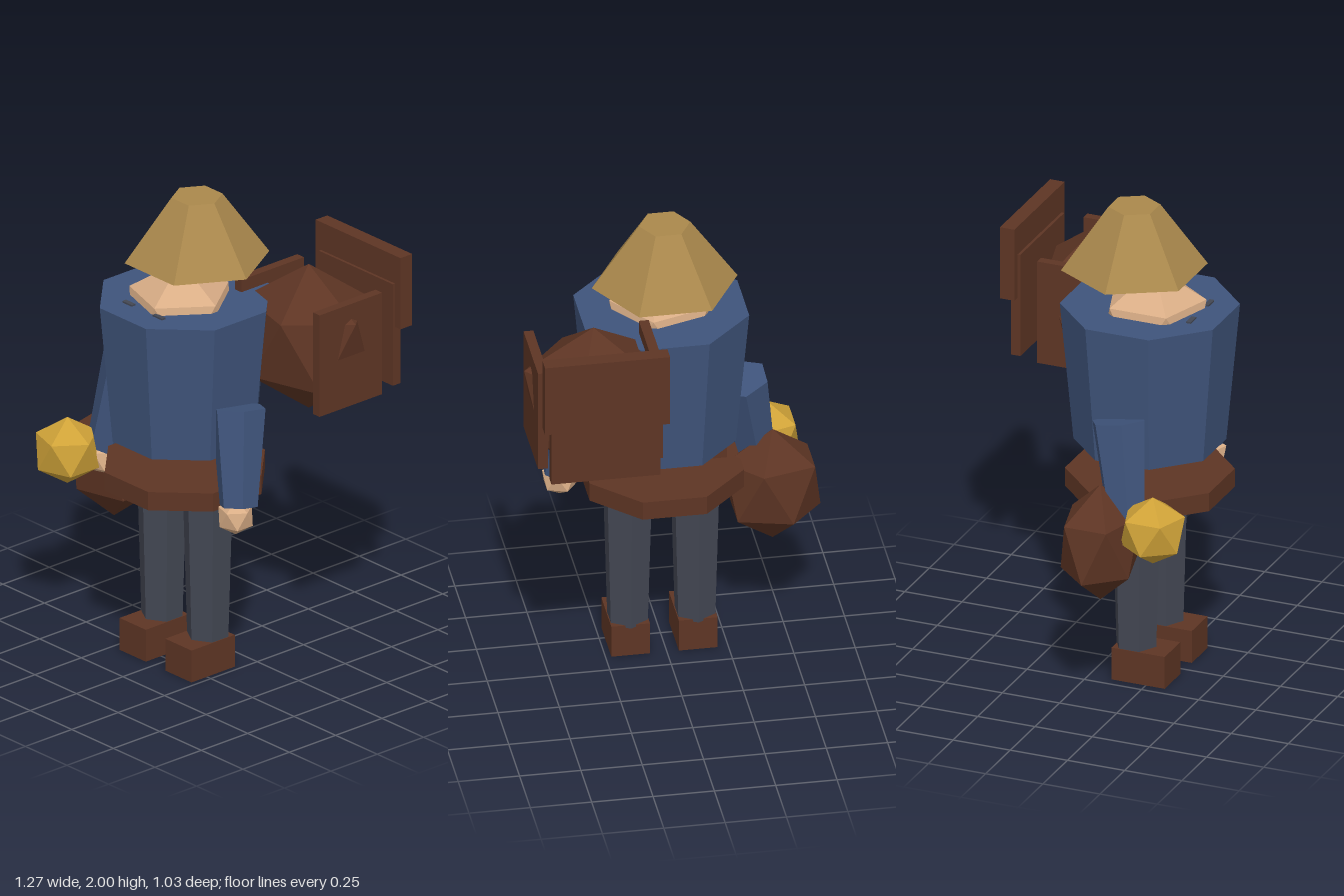
import * as THREE from 'three';
import { ConvexGeometry } from 'three/addons/geometries/ConvexGeometry.js';

const flat = (name, color) => {
  const m = new THREE.MeshStandardMaterial({ color, flatShading: true });
  m.name = name;
  return m;
};

export function createModel() {
  const coat = flat('blue coat', 0x3f547b);
  const straw = flat('straw hat', 0xaa884c);
  const skin = flat('skin', 0xd9ad86);
  const leather = flat('brown leather', 0x5e3524);
  const trousers = flat('grey trousers', 0x434753);
  const gold = flat('gold', 0xcfa238);

  const root = new THREE.Group();
  const CX = 0.01, CZ = 0.175; // body axis

  const add = (name, geo, mat, x, y, z, parent = root) => {
    const mesh = new THREE.Mesh(geo, mat);
    mesh.name = name;
    mesh.position.set(x, y, z);
    parent.add(mesh);
    return mesh;
  };

  // box given by its min and max corners
  const box = (name, mat, [x0, y0, z0], [x1, y1, z1]) =>
    add(name, new THREE.BoxGeometry(x1 - x0, y1 - y0, z1 - z0), mat,
      (x0 + x1) / 2, (y0 + y1) / 2, (z0 + z1) / 2);

  // upright prism; turn is the rotation of its corners
  const prism = (name, mat, sides, rTop, rBottom, y0, y1, x, z, turn = 0) =>
    add(name, new THREE.CylinderGeometry(rTop, rBottom, y1 - y0, sides).rotateY(turn), mat,
      x, (y0 + y1) / 2, z);

  // twenty-faced ball with a corner pointing up, stretched per axis
  const ball = (name, mat, x, y, z, rx, ry = rx, rz = rx) => {
    const pts = [new THREE.Vector3(0, ry, 0), new THREE.Vector3(0, -ry, 0)];
    for (let i = 0; i < 5; i++) {
      const a = (i * Math.PI * 2) / 5;
      const c = 0.8944 * Math.cos(a), s = 0.8944 * Math.sin(a);
      pts.push(new THREE.Vector3(c * rx, 0.4472 * ry, s * rz));
      pts.push(new THREE.Vector3(-c * rx, -0.4472 * ry, -s * rz));
    }
    return add(name, new ConvexGeometry(pts), mat, x, y, z);
  };

  // tapered six-sided limb between two points
  const limb = (name, mat, from, to, rFrom, rTo) => {
    const a = new THREE.Vector3(...from), b = new THREE.Vector3(...to);
    const d = a.clone().sub(b);
    const mid = a.clone().add(b).multiplyScalar(0.5);
    const mesh = add(name, new THREE.CylinderGeometry(rFrom, rTo, d.length(), 6), mat, mid.x, mid.y, mid.z);
    mesh.quaternion.setFromUnitVectors(new THREE.Vector3(0, 1, 0), d.normalize());
  };

  // torso, belt, head and hat
  prism('torso', coat, 8, 0.362, 0.307, 0.985, 1.58, CX, CZ, Math.PI / 8);
  prism('belt', leather, 8, 0.341, 0.341, 0.775, 0.855, CX, CZ, Math.PI / 8);
  ball('head', skin, 0.008, 1.505, 0.196, 0.235);
  prism('hat', straw, 6, 0.105, 0.297, 1.73, 2, 0.008, 0.108, Math.PI / 6);

  // paired parts
  for (const [side, s] of [['left', 1], ['right', -1]]) {
    const legX = CX + s * 0.1375;
    prism(side + 'Leg', trousers, 6, 0.104, 0.087, 0.13, 0.725, legX, CZ);
    box(side + 'Boot', leather, [legX - 0.079, 0, 0.1], [legX + 0.079, 0.14, 0.333]);
    limb(side + 'Arm', coat, [CX + s * 0.325, 1.2, 0.178], [CX + s * 0.4, 0.81, 0.243], 0.115, 0.08);
    ball(side + 'Hand', skin, CX + s * 0.4, 0.77, 0.26, 0.079);
    const eyeX = CX + s * 0.091;
    box(side + 'Eye', trousers, [eyeX - 0.028, 1.535, 0.385], [eyeX + 0.028, 1.587, 0.405]);
  }

  // hip bag with strap, and the gold ball held at the right hand
  ball('hipBag', leather, -0.44, 0.713, 0.153, 0.218, 0.253, 0.174);
  box('bagStrap', leather, [-0.254, 0.69, 0.15], [-0.196, 1.2, 0.19]);
  ball('goldBall', gold, -0.457, 0.812, 0.389, 0.145);

  // back pack: round bundle between boards
  ball('packBundle', leather, 0.35, 1.41, -0.188, 0.316, 0.316, 0.27);
  for (const x of [0.095, 0.565]) {
    box('packSideBoard', leather, [x, 1.188, -0.355], [x + 0.04, 1.634, -0.018]);
  }
  box('packBackBoard', leather, [0.128, 1.188, -0.482], [0.573, 1.634, -0.442]);
  box('packTopBoard', leather, [0.095, 1.443, -0.517], [0.605, 1.756, -0.454]);

  return root;
}
